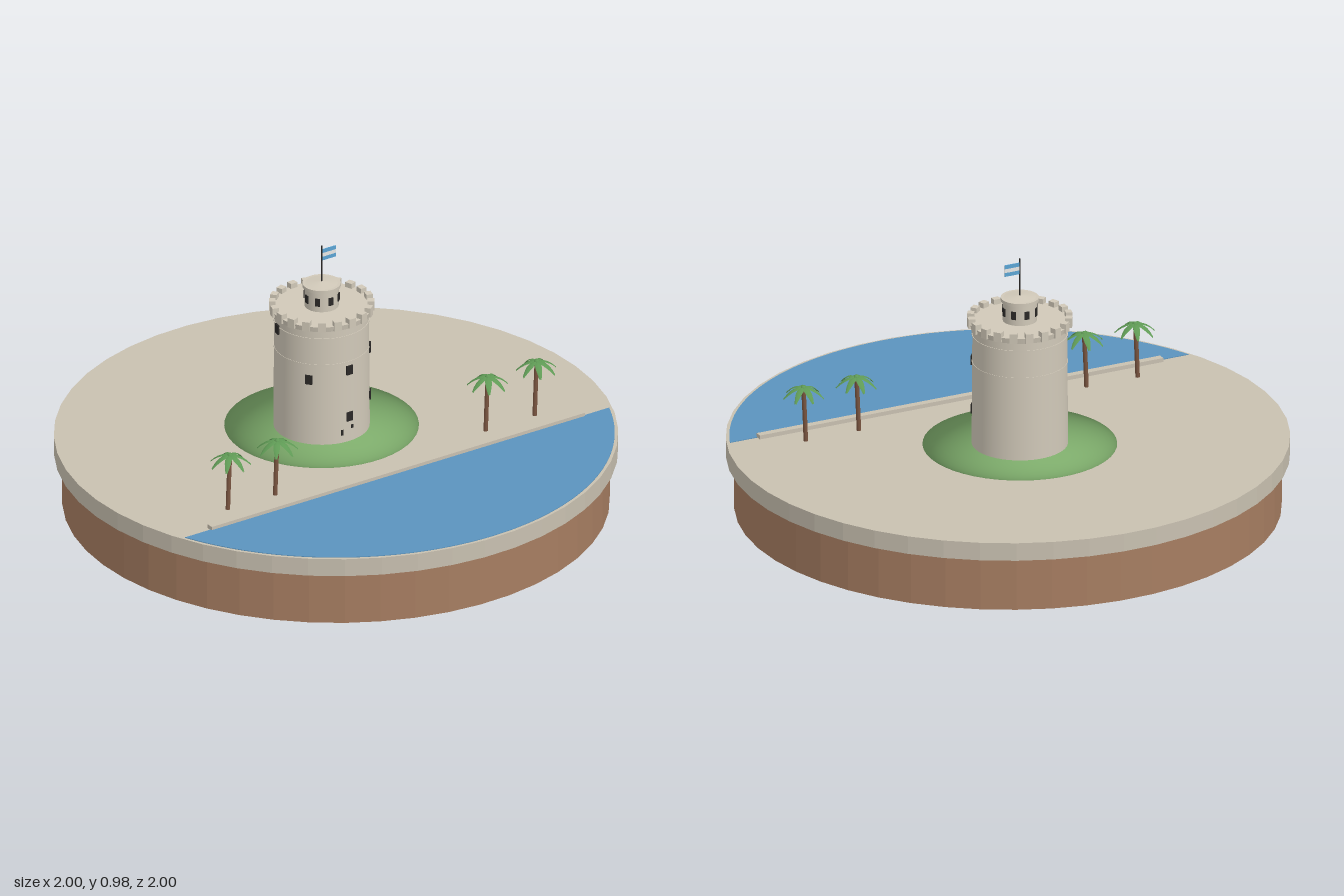
import * as THREE from 'three';

const mat = (name, color, extra = {}) => {
  const m = new THREE.MeshStandardMaterial({ color, ...extra });
  m.name = name;
  return m;
};

export function createModel() {
  const paving = mat('paving', 0xc8c0b0, { flatShading: true });
  const earth = mat('earth', 0xa67d61, { flatShading: true });
  const water = mat('water', 0x5b93bd);
  const grass = mat('grass', 0x7caa6a);
  const stone = mat('stone', 0xd0c8b8);
  const dark = mat('dark opening', 0x2a2826);
  const bark = mat('bark', 0x7a5540);
  const leaf = mat('palm leaf', 0x5f9a55, { side: THREE.DoubleSide });
  const flagBlue = mat('flag blue', 0x5ba4d4);
  const flagWhite = mat('flag white', 0xf2f2f0);

  const model = new THREE.Group();
  model.name = 'towerIsland';
  const GROUND = 0.267;
  const SHORE = -THREE.MathUtils.degToRad(20);

  const add = (parent, name, geometry, material, x = 0, y = 0, z = 0) => {
    const mesh = new THREE.Mesh(geometry, material);
    mesh.name = name;
    mesh.position.set(x, y, z);
    parent.add(mesh);
    return mesh;
  };
  const drum = (top, bottom, height, sides = 48) => new THREE.CylinderGeometry(top, bottom, height, sides);

  // Round base
  add(model, 'earthBase', drum(0.97, 0.97, 0.2), earth, 0, 0.1, 0);
  add(model, 'pavedSlab', drum(1, 1, 0.067), paving, 0, 0.2335, 0);

  // Water and quay wall, turned to follow the shore line
  const shore = new THREE.Group();
  shore.name = 'shore';
  shore.rotation.y = SHORE;
  model.add(shore);
  const R = 0.987, a = Math.asin(0.384 / R);
  const bay = new THREE.Shape();
  bay.absarc(0, 0, R, Math.PI + a, 2 * Math.PI - a, false);
  const bayGeometry = new THREE.ExtrudeGeometry(bay, { depth: 0.003, bevelEnabled: false, curveSegments: 40 });
  bayGeometry.rotateX(-Math.PI / 2);
  add(shore, 'water', bayGeometry, water, 0, GROUND - 0.0005, 0);
  add(shore, 'quayWall', new THREE.BoxGeometry(1.6, 0.016, 0.026), paving, 0, GROUND + 0.007, 0.378);

  // Tower
  const tower = new THREE.Group();
  tower.name = 'tower';
  tower.position.set(0.024, 0, -0.08);
  model.add(tower);

  // Lawn: a dome pressed almost flat, keeping its rounded shading
  const lawn = new THREE.SphereGeometry(0.345, 48, 12, 0, Math.PI * 2, 0, Math.PI / 2);
  const p = lawn.attributes.position;
  for (let i = 0; i < p.count; i++) p.setY(i, p.getY(i) * 0.018);
  add(tower, 'lawn', lawn, grass, 0, GROUND, 0);

  add(tower, 'towerWall', drum(0.168, 0.171, 0.465), stone, 0, 0.4995, 0);
  for (const y of [0.585, 0.688]) add(tower, 'stringCourse', drum(0.1705, 0.1705, 0.006), stone, 0, y, 0);
  add(tower, 'crownDeck', drum(0.182, 0.178, 0.02), stone, 0, 0.732, 0);

  // Place a small box on a round wall; degrees run from the front towards the left
  const onWall = (name, degrees, radius, y, w, h, d, material) => {
    const t = THREE.MathUtils.degToRad(degrees);
    const box = add(tower, name, new THREE.BoxGeometry(w, h, d), material,
      Math.sin(t) * radius, y, Math.cos(t) * radius);
    box.rotation.y = t;
  };
  for (let i = 0; i < 20; i++) onWall('merlon', i * 18, 0.175, 0.743, 0.028, 0.036, 0.024, stone);

  // Windows winding up the wall
  for (const [deg, y] of [[-19, 0.37], [33, 0.392], [-70, 0.527], [-19, 0.553], [33, 0.578], [-121, 0.68]]) {
    onWall('window', deg, 0.17, y, 0.026, 0.035, 0.009, dark);
  }
  onWall('slit', -29, 0.17, 0.312, 0.008, 0.022, 0.005, dark);
  onWall('slit', -15, 0.17, 0.328, 0.008, 0.014, 0.005, dark);

  // Lantern turret
  add(tower, 'turretWall', drum(0.061, 0.061, 0.085, 32), stone, 0, 0.78, 0);
  add(tower, 'turretRim', drum(0.068, 0.068, 0.012, 32), stone, 0, 0.823, 0);
  add(tower, 'turretRoof', new THREE.ConeGeometry(0.066, 0.008, 32), stone, 0, 0.832, 0);
  for (let i = 0; i < 8; i++) onWall('turretWindow', 22.5 + i * 45, 0.06, 0.78, 0.018, 0.03, 0.008, dark);

  // Flag
  add(tower, 'flagPole', drum(0.0025, 0.0025, 0.146, 8), dark, 0, 0.903, 0);
  const flag = new THREE.Group();
  flag.name = 'flag';
  flag.rotation.y = SHORE;
  tower.add(flag);
  [flagBlue, flagWhite, flagBlue].forEach((m, i) =>
    add(flag, 'flagStripe', new THREE.BoxGeometry(0.058, 0.0145, 0.003), m, 0.031, 0.953 - i * 0.0145, 0));

  // Palm frond: a drooping strip, widest in the middle and folded along its rib
  const frond = new THREE.PlaneGeometry(1, 1, 5, 2);
  const f = frond.attributes.position;
  for (let i = 0; i < f.count; i++) {
    const t = f.getX(i) + 0.5, side = f.getY(i) * 2;
    const width = 0.003 + 0.009 * Math.sin(Math.PI * Math.min(1, t * 0.9 + 0.1));
    f.setXYZ(i, t * 0.074, 0.01 * t - 0.047 * t * t - Math.abs(side) * 0.004, -side * width);
  }
  frond.computeVertexNormals();

  // Palms
  const trunkCurve = new THREE.QuadraticBezierCurve3(
    new THREE.Vector3(-0.013, GROUND - 0.003, 0),
    new THREE.Vector3(-0.008, 0.37, 0),
    new THREE.Vector3(0, 0.475, 0));
  const trunk = new THREE.TubeGeometry(trunkCurve, 6, 0.008, 8);
  [[-0.7, 0.04], [-0.51, 0.11], [0.337, 0.42], [0.537, 0.49]].forEach(([x, z], n) => {
    const palm = new THREE.Group();
    palm.name = 'palm';
    palm.position.set(x, 0, z);
    model.add(palm);
    add(palm, 'trunk', trunk, bark);
    add(palm, 'crownBud', new THREE.SphereGeometry(0.011, 10, 6), leaf, 0, 0.472, 0);
    for (let i = 0; i < 7; i++) {
      add(palm, 'frond', frond, leaf, 0, 0.477, 0).rotation.y = (i / 7) * Math.PI * 2 + n * 0.12;
    }
  });

  return model;
}
